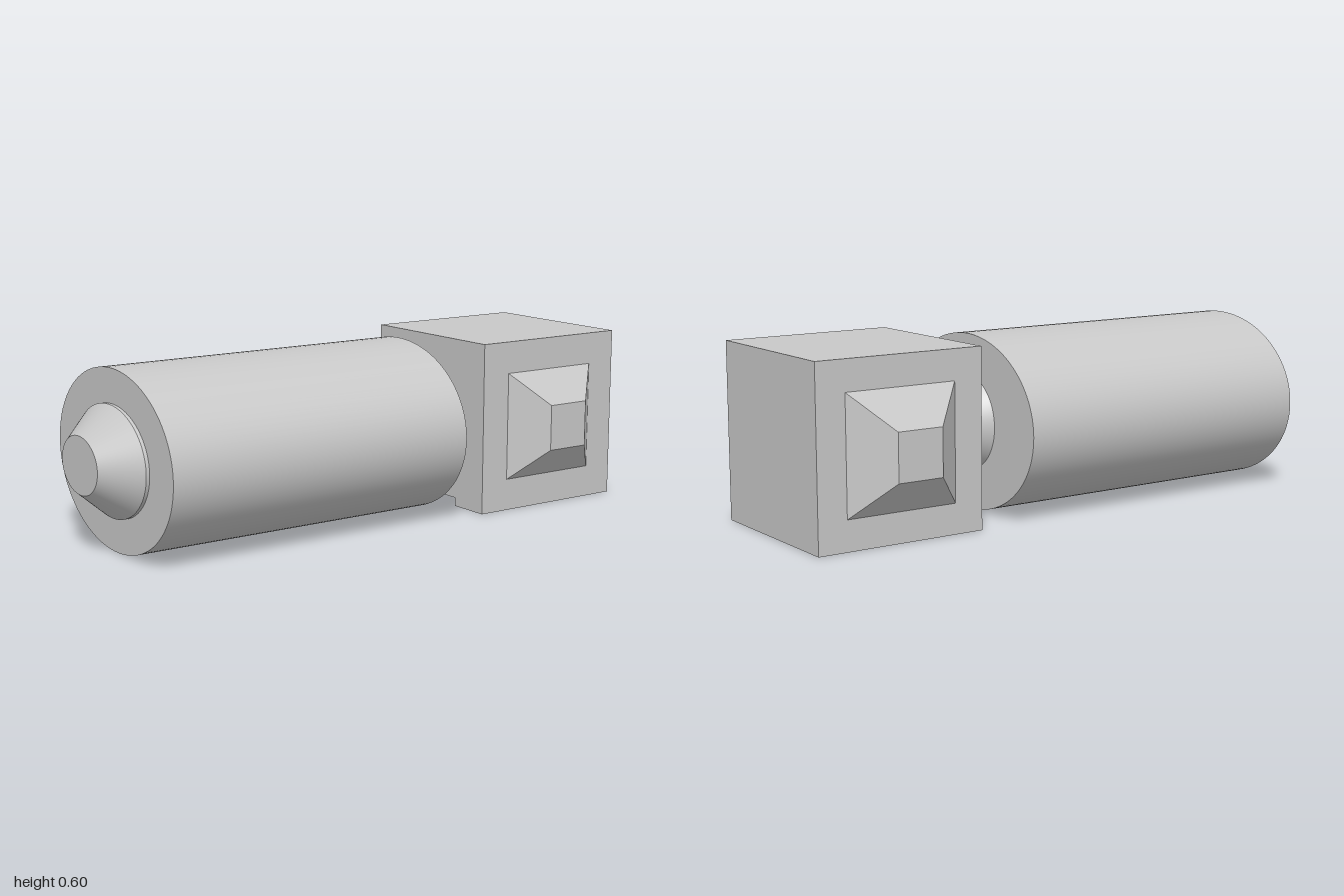
import * as THREE from 'three';

export function createModel() {
  const model = new THREE.Group();
  const grey = new THREE.MeshStandardMaterial({ color: 0xc8c8c8 });
  grey.name = 'light grey';
  const midY = 0.301, boxX = 0.7, boxZ = 0.004;

  function add(name, geometry, x, y, z) {
    const mesh = new THREE.Mesh(geometry, grey);
    mesh.name = name;
    mesh.position.set(x, y, z);
    model.add(mesh);
    return mesh;
  }

  // Tapered round part lying along x, stretched to an oval in z
  function addRound(name, x0, x1, r0, r1, stretch) {
    const g = new THREE.CylinderGeometry(r1, r0, x1 - x0, 96);
    g.rotateZ(-Math.PI / 2);
    g.scale(1, 1, stretch);
    return add(name, g, (x0 + x1) / 2, midY, 0.003);
  }

  // Oval body with its rear nozzle and front neck
  addRound('body', -0.88, 0.257, 0.301, 0.301, 1.285);
  addRound('nozzleCollar', -0.892, -0.88, 0.186, 0.186, 1.285);
  addRound('nozzle', -1, -0.892, 0.096, 0.186, 1.285);
  addRound('neck', 0.257, 0.4, 0.163, 0.096, 1);

  // Head block: solid upper part over a thin layer cut by pockets
  const depth = 0.03;
  add('headBlock', new THREE.BoxGeometry(0.6, 0.602 - depth, 0.602), boxX, (0.602 + depth) / 2, boxZ);

  // Layer outline in x and -z, notched along the neck side
  const h = 0.301, n = 0.15;
  const outline = new THREE.Shape([
    [-0.3, -h], [0.3, -h], [0.3, h], [-0.3, h],
    [-0.3, n], [-0.155, n], [-0.155, -n], [-0.3, -n],
  ].map(([x, y]) => new THREE.Vector2(x, y)));
  const pocketX = 0.095, s = 0.035;
  for (const side of [-1, 1]) {
    const y = side * 0.115;
    outline.holes.push(new THREE.Path([
      [pocketX - s, y - s], [pocketX - s, y + s], [pocketX + s, y + s], [pocketX + s, y - s],
    ].map(([a, b]) => new THREE.Vector2(a, b))));
    // Small peg inside each pocket
    add('pocketPeg', new THREE.BoxGeometry(0.03, 0.025, 0.03), boxX + pocketX, depth - 0.0125, boxZ - y);
  }
  const layer = new THREE.ExtrudeGeometry(outline, { depth, bevelEnabled: false });
  layer.rotateX(-Math.PI / 2);
  add('headBase', layer, boxX, 0, boxZ);

  // Truncated pyramids on the front and back of the head
  for (const side of [1, -1]) {
    let g = new THREE.CylinderGeometry(0.08 * Math.SQRT2, 0.2 * Math.SQRT2, 0.115, 4);
    g.rotateY(Math.PI / 4);
    g.rotateX(side * Math.PI / 2);
    g = g.toNonIndexed();
    g.computeVertexNormals();
    add(side > 0 ? 'frontPyramid' : 'backPyramid', g, boxX, midY, side * 0.3525);
  }

  return model;
}
